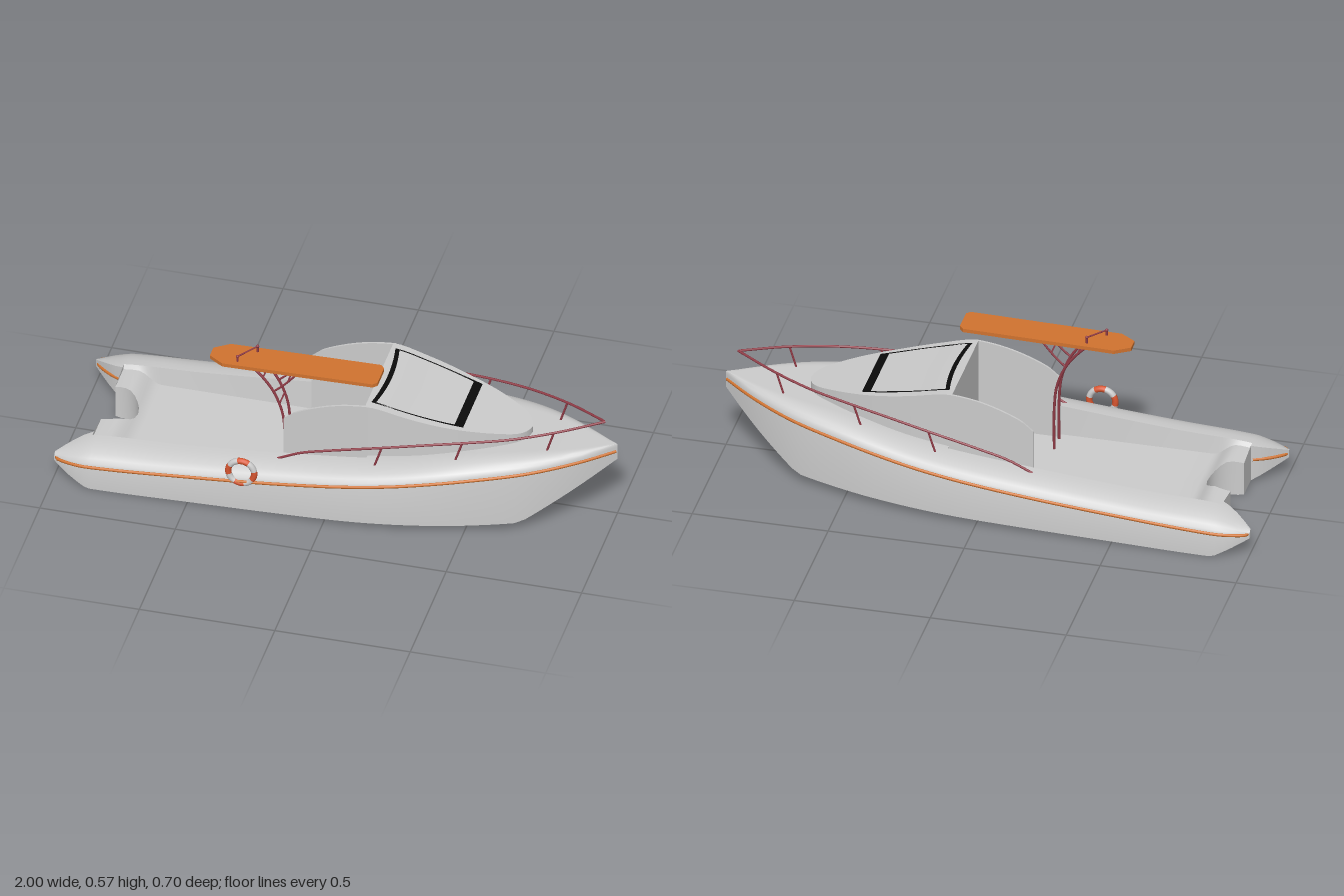
import * as THREE from 'three';
import { toCreasedNormals } from 'three/addons/utils/BufferGeometryUtils.js';

const paint = (color, side = THREE.FrontSide) => new THREE.MeshStandardMaterial({ color, side });
const grey = paint(0xcccccc, THREE.DoubleSide);
const orange = paint(0xd0732f), red = paint(0x8f3a45), black = paint(0x0a0a0a, THREE.DoubleSide);
const buoyRed = paint(0xd8552f), white = paint(0xdddddd);
const V = (x, y, z) => new THREE.Vector3(x, y, z);

// Smooth function of x through a table of [x, value] pairs
function profile(t) {
  const slope = (i) => {
    const a = t[Math.max(i - 1, 0)], b = t[Math.min(i + 1, t.length - 1)];
    return (b[1] - a[1]) / (b[0] - a[0]);
  };
  return (x) => {
    let i = 0;
    while (i < t.length - 2 && x > t[i + 1][0]) i++;
    const d = t[i + 1][0] - t[i][0];
    const s = THREE.MathUtils.clamp((x - t[i][0]) / d, 0, 1), s2 = s * s, s3 = s2 * s;
    return (2 * s3 - 3 * s2 + 1) * t[i][1] + (s3 - 2 * s2 + s) * d * slope(i)
      + (3 * s2 - 2 * s3) * t[i + 1][1] + (s3 - s2) * d * slope(i + 1);
  };
}

// Hull lines
const beam = profile([[-1, 0.3], [-0.95, 0.325], [-0.87, 0.342], [-0.5, 0.342], [0, 0.335], [0.2, 0.32],
  [0.4, 0.287], [0.55, 0.248], [0.69, 0.2], [0.8, 0.145], [0.9, 0.08], [1, 0]]);
const stripeY = profile([[-1, 0.085], [-0.6, 0.112], [-0.2, 0.145], [0.2, 0.19], [0.5, 0.23], [0.8, 0.26], [1, 0.275]]);
const deckY = profile([[-1, 0.1], [-0.94, 0.128], [-0.87, 0.15], [-0.6, 0.165], [-0.2, 0.2], [0.2, 0.24],
  [0.5, 0.285], [0.69, 0.3], [1, 0.305]]);
const keelY = (x) => x < -0.87 ? (-0.87 - x) * 0.54
  : x < 0.69 ? 0.04 * (x + 0.87) / 1.56 : 0.04 + (x - 0.69) * 0.645;

// Cabin lines
const cabinW = profile([[0.12, 0.2], [0.3, 0.187], [0.42, 0.165], [0.52, 0.135], [0.6, 0.1], [0.65, 0.07], [0.678, 0.035], [0.688, 0]]);
const cabinH = profile([[-0.18, 0.335], [-0.13, 0.375], [0, 0.425], [0.12, 0.445], [0.17, 0.44], [0.25, 0.42],
  [0.4, 0.385], [0.55, 0.355], [0.69, 0.325]]);

// Skin rows of [x, y, z] and mirror the skin across z
function loft(rows, closed) {
  const pos = [];
  const tri = (a, b, c) => {
    const p = [a, b, c].map((q) => V(...q));
    if (new THREE.Triangle(...p).getArea() < 1e-8) return;
    pos.push(...a, ...b, ...c);
    for (const q of [a, c, b]) pos.push(q[0], q[1], -q[2]);
  };
  for (let i = 0; i < rows.length - 1; i++) {
    const n = rows[i].length;
    for (let j = 0; j < (closed ? n : n - 1); j++) {
      const k = (j + 1) % n;
      const a = rows[i][j], b = rows[i + 1][j], c = rows[i + 1][k], d = rows[i][k];
      if ([a, b, c, d].every((p) => p[2] === 0)) continue;
      tri(a, b, c);
      tri(a, c, d);
    }
  }
  const g = new THREE.BufferGeometry();
  g.setAttribute('position', new THREE.Float32BufferAttribute(pos, 3));
  return toCreasedNormals(g, 0.6);
}

// One half section: keel, side, rounded gunwale, inner wall, floor or deck
function hullRow(x, inner, floor) {
  const w = beam(x), ys = stripeY(x), yd = deckY(x), yb = keelY(x);
  const rim = Math.max(Math.min(0.22, 0.65 * w), inner);
  const row = [[x, yb, inner], [x, yb, w]];
  for (let k = 0; k <= 6; k++) {
    const a = (k / 6) * Math.PI / 2;
    row.push([x, ys + (yd - ys) * Math.sin(a), rim + (w - rim) * Math.cos(a)]);
  }
  row.push([x, floor, Math.max(inner, rim - 0.01)], [x, floor, inner]);
  return row;
}

const hornInner = (x) => 0.2 + 0.085 * Math.pow((-0.88 - x) / 0.12, 1.3);

function hullGeometry() {
  const rows = [], floorY = 0.09;
  // stern horns
  for (const x of [-1, -0.97, -0.94, -0.91, -0.88]) rows.push(hullRow(x, hornInner(x), deckY(x)));
  const tip = rows[0], mid = [0, 1, 2].map((k) => tip.reduce((s, p) => s + p[k], 0) / tip.length);
  rows.unshift(tip.map(() => mid));
  // transom with round notch, sloping to the cockpit floor
  for (const x of [-0.88, -0.86, -0.84, -0.82, -0.8, -0.785, -0.775, -0.77, -0.755, -0.74]) {
    const notch = Math.sqrt(Math.max(0, 0.01 - (x + 0.87) ** 2));
    const s = THREE.MathUtils.smoothstep(x, -0.83, -0.74);
    rows.push(hullRow(x, x > -0.771 ? 0 : notch, THREE.MathUtils.lerp(deckY(x) - 0.015, floorY, s)));
  }
  // cockpit, then foredeck
  for (let i = 1; i <= 15; i++) rows.push(hullRow(-0.74 + i * 0.058, 0, floorY));
  for (let i = 0; i <= 24; i++) {
    const x = 0.13 + i * 0.87 / 24;
    rows.push(hullRow(x, 0, deckY(x)));
  }
  return loft(rows, true);
}

function cabinGeometry() {
  const row = (x, w) => [[x, 0.09, w], [x, cabinH(x), w], [x, cabinH(x), 0]];
  const rows = [row(0.12, 0)];
  for (let i = 0; i <= 30; i++) {
    const x = 0.12 + 0.568 * Math.sin((i / 30) * Math.PI / 2);
    rows.push(row(x, i === 30 ? 0 : cabinW(x)));
  }
  return loft(rows, false);
}

// Black windscreen frame laid over the cabin roof
function frameGeometry() {
  const outline = (x0, bow, x1, z0, z1) => {
    const p = [];
    for (let i = 0; i <= 12; i++) {
      const s = -1 + i / 6;
      p.push(new THREE.Vector2(x0 + bow * (1 - s * s), s * z0));
    }
    for (let i = 1; i <= 10; i++) p.push(new THREE.Vector2(x0 + (x1 - x0) * i / 10, z0 + (z1 - z0) * (i / 10) ** 2));
    for (let i = 10; i >= 1; i--) p.push(new THREE.Vector2(x0 + (x1 - x0) * i / 10, -z0 - (z1 - z0) * (i / 10) ** 2));
    return p;
  };
  const shape = new THREE.Shape(outline(0.136, 0.015, 0.466, 0.168, 0.136));
  shape.holes.push(new THREE.Path(outline(0.152, 0.016, 0.434, 0.162, 0.134)));
  const g = new THREE.ShapeGeometry(shape).rotateX(-Math.PI / 2), p = g.attributes.position;
  for (let i = 0; i < p.count; i++) p.setY(i, cabinH(p.getX(i)) + 0.002);
  g.computeVertexNormals();
  return g;
}

export function createModel() {
  const boat = new THREE.Group();
  boat.name = 'boat';
  const add = (name, geometry, material, parent = boat) => {
    const m = new THREE.Mesh(geometry, material);
    m.name = name;
    parent.add(m);
    return m;
  };
  const tube = (name, pts, r, mat, seg = 40) => add(name,
    new THREE.TubeGeometry(new THREE.CatmullRomCurve3(pts), seg, r, 8), mat);
  const rod = (name, a, b, r, mat) => add(name, new THREE.TubeGeometry(new THREE.LineCurve3(a, b), 1, r, 8), mat);

  add('hull', hullGeometry(), grey);
  add('cabin', cabinGeometry(), grey);
  add('windscreenFrame', frameGeometry(), black);

  // Cabin side wing panel
  const wing = new THREE.Shape();
  wing.moveTo(0.13, 0.085).lineTo(-0.18, 0.085);
  for (let i = 0; i <= 16; i++) wing.lineTo(-0.18 + i * 0.31 / 16, cabinH(-0.18 + i * 0.31 / 16));

  const railPts = [[-0.19, 0.195, 0.25], [-0.1, 0.24, 0.255], [0, 0.268, 0.255], [0.2, 0.313, 0.248], [0.35, 0.338, 0.228],
    [0.5, 0.355, 0.197], [0.65, 0.368, 0.155], [0.8, 0.382, 0.09], [0.955, 0.395, 0]];
  const railY = profile(railPts.map((p) => [p[0], p[1]]));
  const railZ = profile(railPts.map((p) => [p[0], p[2]]));

  for (const s of [1, -1]) {
    const side = s > 0 ? 'left' : 'right';
    // (the starboard side of the model frame is called right)
    add(side + 'CabinWing', new THREE.ExtrudeGeometry(wing, { depth: 0.008, bevelEnabled: false }), grey)
      .position.z = s > 0 ? 0.192 : -0.2;

    // Rubbing stripe, wrapping round the stern horn
    const stripe = [V(-0.885, 0.09, s * 0.203), V(-0.94, 0.087, s * hornInner(-0.94)), V(-0.992, 0.085, s * 0.283)];
    for (let i = 0; i <= 40; i++) {
      const x = -0.992 + i * 1.987 / 40;
      stripe.push(V(x, stripeY(x), s * beam(x)));
    }
    tube(side + 'Stripe', stripe, 0.006, orange, 120);

    // Bow rail and its posts
    tube(side + 'Rail', railPts.map(([x, y, z]) => V(x, y, s * z)), 0.0045, red, 60);
    for (const x of [0.195, 0.48, 0.79]) {
      const base = x - 0.03;
      rod(side + 'RailPost', V(base, deckY(base) - 0.018, s * railZ(x)), V(x, railY(x), s * railZ(x)), 0.004, red);
    }
  }

  // Ladder-like roof support: two curved legs with forward branches
  for (const z of [0.107, 0.18]) {
    tube('supportLeg', [V(-0.18, 0.09, z), V(-0.18, 0.25, z), V(-0.19, 0.35, z), V(-0.225, 0.44, z),
      V(-0.275, 0.505, z), V(-0.315, 0.54, z)], 0.005, red);
    tube('supportBranch', [V(-0.222, 0.435, z), V(-0.18, 0.475, z), V(-0.13, 0.535, z)], 0.004, red, 16);
  }
  for (const [x, y] of [[-0.2, 0.385], [-0.262, 0.487], [-0.17, 0.487]])
    rod('supportRung', V(x, y, 0.107), V(x, y, 0.18), 0.003, red);

  // Sun roof board
  const board = new THREE.Shape([[-0.46, 0.12], [-0.405, 0.083], [0.15, 0.083], [0.165, 0.1], [0.165, 0.19],
    [0.15, 0.205], [-0.405, 0.205], [-0.46, 0.168]].map(([x, z]) => new THREE.Vector2(x, -z)));
  const roof = add('roofBoard', new THREE.ExtrudeGeometry(board, { depth: 0.014, bevelEnabled: false }).rotateX(-Math.PI / 2), orange);
  roof.rotation.z = 0.02;
  roof.position.y = 0.537;

  // Handle on top of the board
  const ends = [V(-0.355, 0.565, 0.18), V(-0.3, 0.569, 0.107)];
  rod('roofHandle', ends[0], ends[1], 0.003, red);
  for (const e of ends) {
    rod('handlePost', V(e.x, 0.535, e.z), e, 0.004, red);
    add('handleKnob', new THREE.SphereGeometry(0.006, 10, 8), red).position.copy(e);
  }

  // Life ring in alternating segments
  const ring = new THREE.Group();
  ring.name = 'lifeRing';
  for (let i = 0; i < 8; i++) {
    add('ringSegment', new THREE.TorusGeometry(0.048, 0.0115, 12, 8, Math.PI / 4), i % 2 ? buoyRed : white, ring)
      .rotation.z = (i + 0.3) * Math.PI / 4;
  }
  ring.position.set(-0.3, 0.175, 0.336);
  boat.add(ring);
  return boat;
}
